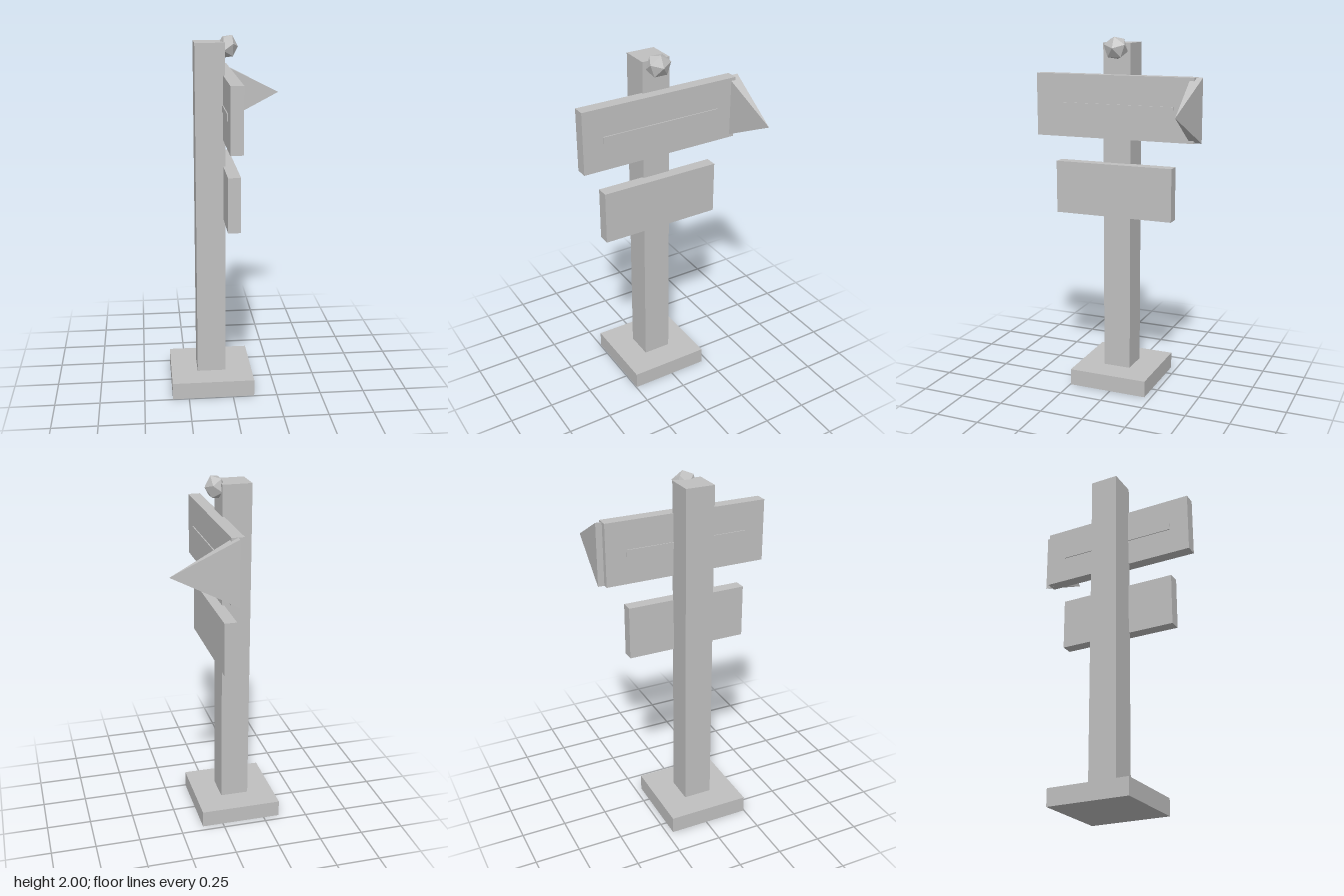
import * as THREE from 'three';

export function createModel() {
  const model = new THREE.Group();
  model.name = 'signpost';
  const grey = new THREE.MeshStandardMaterial({ color: 0xc0c0c0, flatShading: true });
  grey.name = 'plain grey';

  const add = (name, geometry, x, y, z) => {
    const mesh = new THREE.Mesh(geometry, grey);
    mesh.name = name;
    mesh.position.set(x, y, z);
    model.add(mesh);
    return mesh;
  };

  // Box given by its limits on each axis
  const box = (name, [x0, x1], [y0, y1], [z0, z1]) =>
    add(name, new THREE.BoxGeometry(x1 - x0, y1 - y0, z1 - z0),
      (x0 + x1) / 2, (y0 + y1) / 2, (z0 + z1) / 2);

  // Foot and post
  box('base', [-0.342, 0.12], [0, 0.095], [-0.214, 0.246]);
  box('post', [-0.191, -0.03], [0.095, 1.967], [-0.064, 0.097]);

  // Two boards, the upper one with a raised strip on both faces
  box('upperBoard', [-0.041, 0.027], [1.45, 1.797], [-0.445, 0.477]);
  box('upperBoardStrip', [-0.046, 0.033], [1.603, 1.64], [-0.33, 0.363]);
  box('lowerBoard', [-0.041, 0.027], [1.01, 1.307], [-0.325, 0.363]);

  // Flattened four-sided arrowhead pointing sideways
  const arrow = new THREE.ConeGeometry(Math.SQRT2, 1, 4);
  arrow.rotateY(Math.PI / 4);
  arrow.rotateZ(-Math.PI / 2);
  arrow.scale(0.345, 0.174, 0.033);
  add('arrowhead', arrow, 0.165, 1.623, -0.447);

  // Faceted lamp, one corner turned to the side
  const lamp = new THREE.IcosahedronGeometry(1, 0);
  lamp.rotateX(Math.atan(2 / (1 + Math.sqrt(5))));
  lamp.rotateY(Math.PI / 2);
  lamp.rotateX(Math.PI);
  lamp.scale(0.056, 0.067, 0.072);
  add('lamp', lamp, -0.01, 1.94, 0.0145);

  return model;
}
